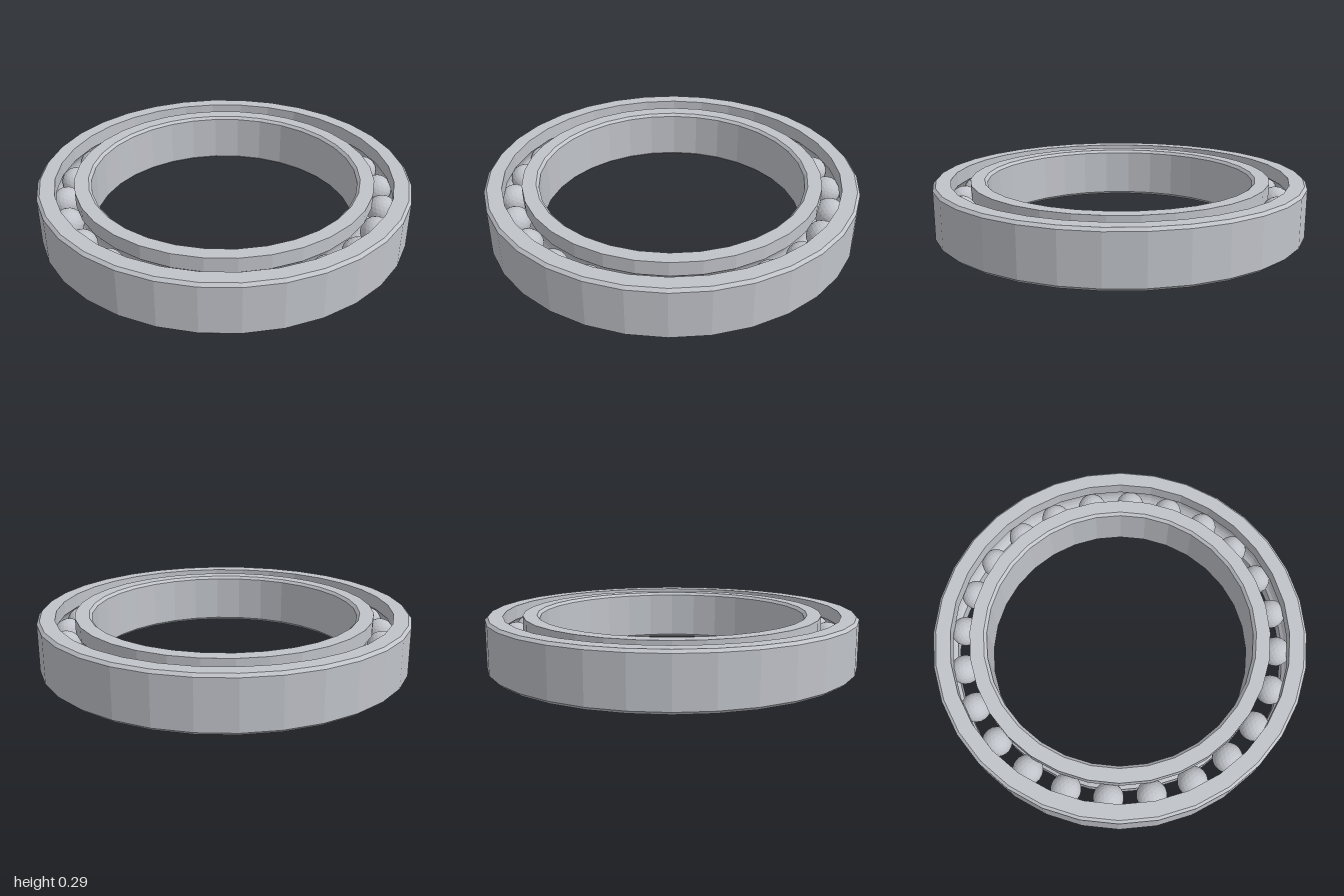
import * as THREE from 'three';

const H = 0.286;          // ring height
const C = 0.015;          // edge chamfer
const PITCH = 0.856;      // radius of the ball circle
const BALL = 0.08;        // ball radius
const GROOVE = 0.084;     // raceway radius
const SEGMENTS = 32;
const BALLS = 24;

// Raceway arc in the ring wall at radius wallR, from angle sign s (top or bottom first)
function raceway(wallR, fromTop) {
  const side = Math.sign(wallR - PITCH);
  const half = Math.acos(Math.abs(wallR - PITCH) / GROOVE);
  const points = [];
  for (let i = 0; i <= 8; i++) {
    const a = half * (1 - i / 4) * (fromTop ? 1 : -1);
    points.push([PITCH + side * GROOVE * Math.cos(a), H / 2 + GROOVE * Math.sin(a)]);
  }
  return points;
}

function ring(name, profile, material) {
  const points = [...profile, profile[0]].map(([x, y]) => new THREE.Vector2(x, y));
  const mesh = new THREE.Mesh(new THREE.LatheGeometry(points, SEGMENTS), material);
  mesh.name = name;
  return mesh;
}

export function createModel() {
  const model = new THREE.Group();
  model.name = 'ballBearing';
  const steel = new THREE.MeshStandardMaterial({ color: 0xc0c3c9, flatShading: true });
  steel.name = 'steel';

  // Outer ring: chamfered outside, raceway inside
  const outerWall = 0.907;
  model.add(ring('outerRing', [
    [outerWall, 0], [1 - C, 0], [1, C], [1, H - C], [1 - C, H], [outerWall, H],
    ...raceway(outerWall, true),
  ], steel));

  // Inner ring: raceway outside, chamfered bore
  const innerWall = 0.804, bore = 0.715;
  model.add(ring('innerRing', [
    [bore + C, 0], [innerWall, 0],
    ...raceway(innerWall, false),
    [innerWall, H], [bore + C, H], [bore, H - C], [bore, C],
  ], steel));

  // Balls
  const balls = new THREE.Group();
  balls.name = 'balls';
  const ballGeometry = new THREE.IcosahedronGeometry(BALL, 3);
  for (let i = 0; i < BALLS; i++) {
    const a = (i / BALLS) * Math.PI * 2;
    const ball = new THREE.Mesh(ballGeometry, steel);
    ball.name = 'ball';
    ball.position.set(PITCH * Math.sin(a), H / 2, PITCH * Math.cos(a));
    balls.add(ball);
  }
  model.add(balls);
  return model;
}
